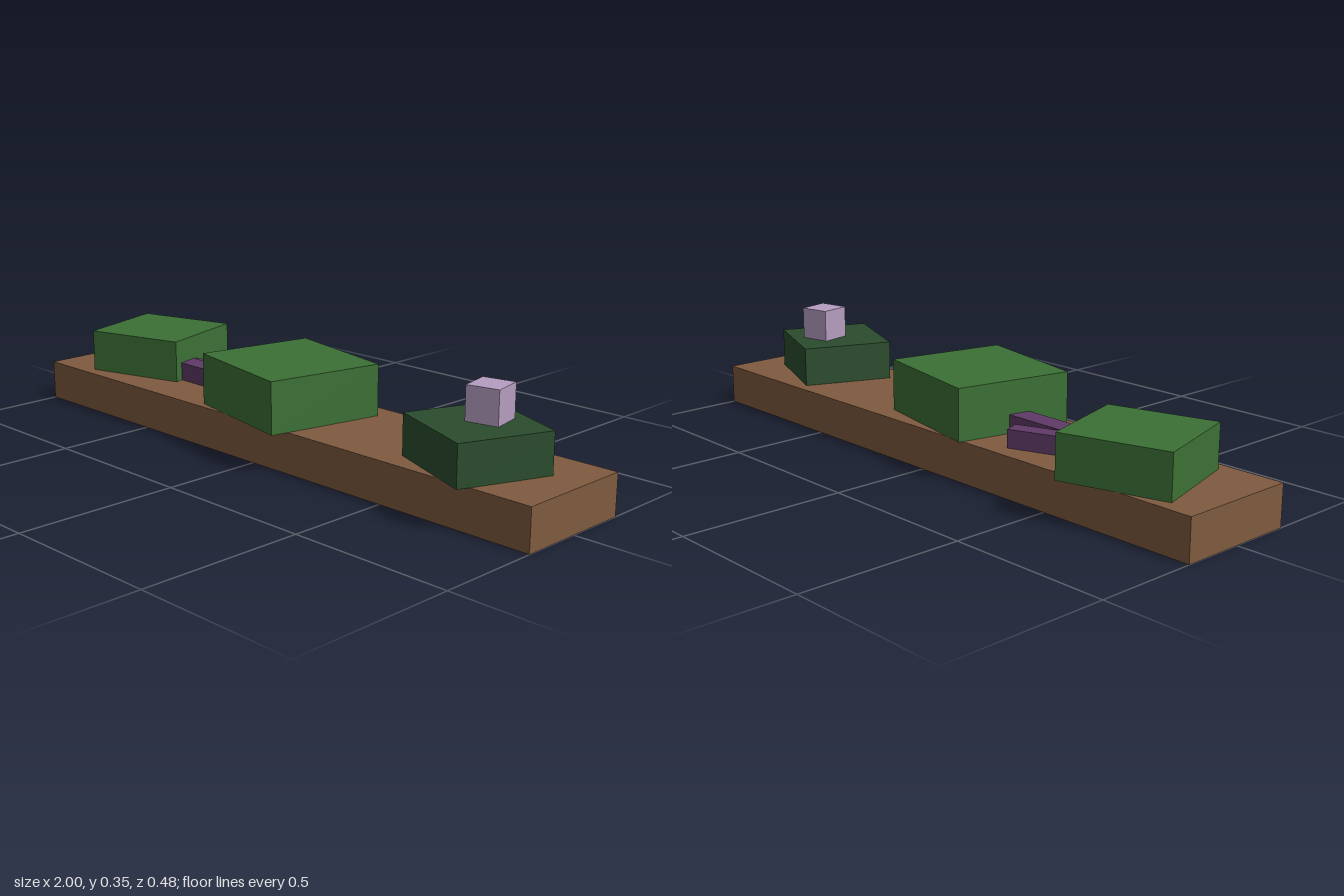
import * as THREE from 'three';

const mat = (name, color) => {
  const m = new THREE.MeshStandardMaterial({ color, side: THREE.DoubleSide });
  m.name = name;
  return m;
};

// Box with no underside, standing on its own y = 0
function openBox(w, h, d) {
  const geo = new THREE.BoxGeometry(w, h, d).translate(0, h / 2, 0);
  const index = Array.from(geo.index.array);
  index.splice(18, 6); // the -y face
  geo.setIndex(index);
  geo.clearGroups();
  return geo;
}

export function createModel() {
  const model = new THREE.Group();
  model.name = 'planter';

  const soil = mat('soil brown', 0x7f5b40);
  const leaf = mat('leaf green', 0x3c7035);
  const darkLeaf = mat('dark leaf green', 0x2b4d2d);
  const stem = mat('stem purple', 0x5f3a66);
  const petal = mat('petal lilac', 0xb59cc0);

  const add = (name, material, [w, h, d], [x, y, z], turn = 0) => {
    const mesh = new THREE.Mesh(openBox(w, h, d), material);
    mesh.name = name;
    mesh.position.set(x, y, z);
    mesh.rotation.y = turn;
    model.add(mesh);
  };

  const top = 0.125;

  // Soil bed
  add('bed', soil, [2, top, 0.375], [0, 0, -0.001]);

  // Bushes
  add('rightBush', leaf, [0.329, 0.132, 0.309], [-0.703, top, -0.045], 0.285);
  add('middleBush', leaf, [0.393, 0.158, 0.37], [-0.019, top, 0.019], -0.205);
  add('leftBush', darkLeaf, [0.302, 0.122, 0.285], [0.706, top, 0.034], -0.38);

  // Crossed stems between the bushes
  add('longStem', stem, [0.36, 0.057, 0.068], [-0.36, top, -0.004], -0.01);
  add('shortStem', stem, [0.28, 0.055, 0.055], [-0.425, top, -0.062], 0.36);

  // Blossom on the dark bush
  add('blossom', petal, [0.098, 0.1, 0.098], [0.72, top + 0.122, 0], 0.2);

  return model;
}
